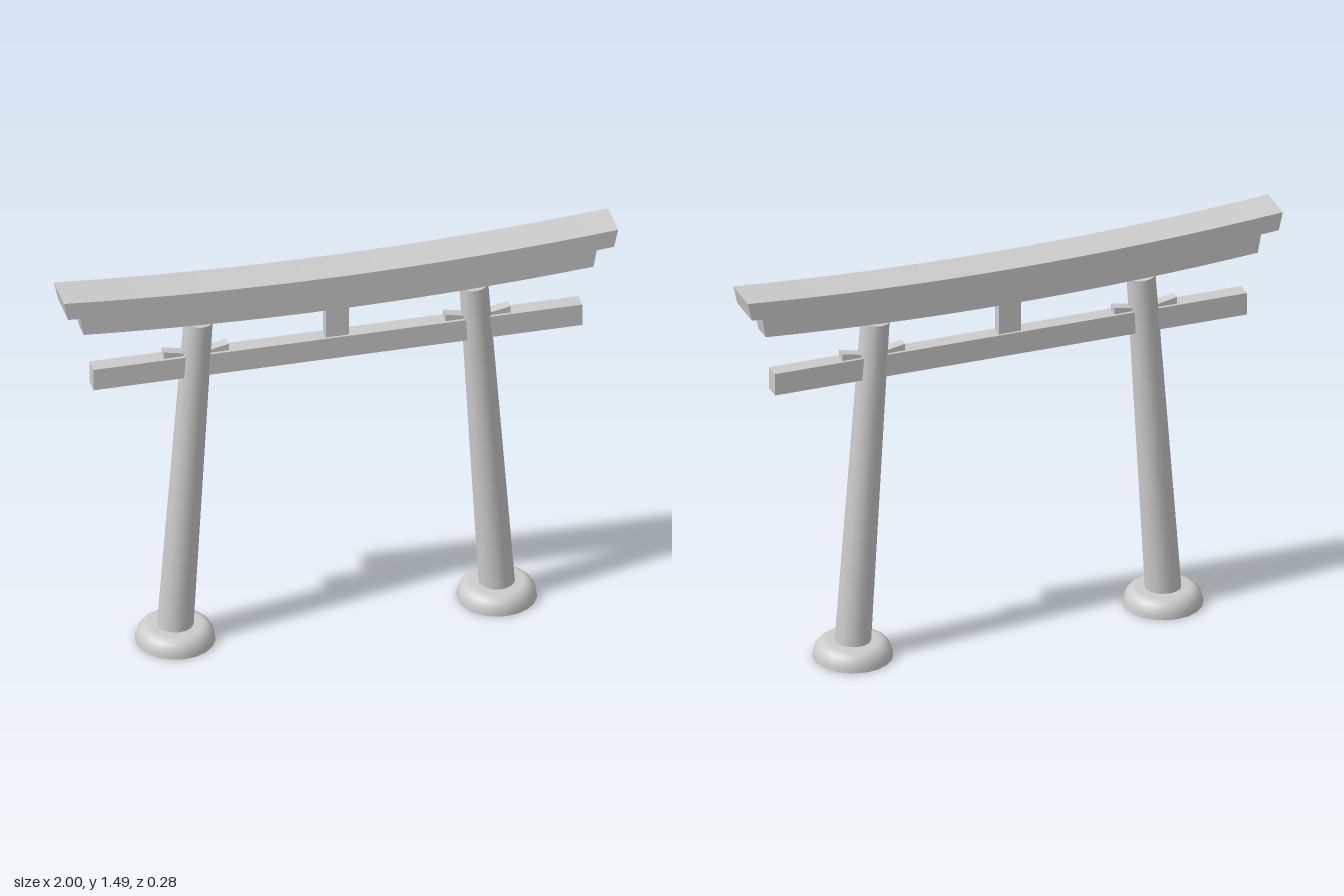
import * as THREE from 'three';

const material = new THREE.MeshStandardMaterial({ color: 0xcccccc });
const openMaterial = new THREE.MeshStandardMaterial({ color: 0xcccccc, side: THREE.DoubleSide });

function add(parent, name, geometry, mat = material) {
  const mesh = new THREE.Mesh(geometry, mat);
  mesh.name = name;
  parent.add(mesh);
  return mesh;
}

// Extrude an outline in the xy plane, centred on z = 0
function slab(points, depth) {
  const shape = new THREE.Shape(points.map(([x, y]) => new THREE.Vector2(x, y)));
  return new THREE.ExtrudeGeometry(shape, { depth, bevelEnabled: false }).translate(0, 0, -depth / 2);
}

// Beam that sweeps upward towards both ends, with slanted end cuts
function curvedBeam(bottomY, topY, bottomHalf, topHalf, depth) {
  const segments = 16, points = [];
  const edge = (half, y, dir) => {
    for (let i = 0; i <= segments; i++) {
      const x = dir * half * (2 * i / segments - 1);
      points.push([x, y + 0.04 * x * x]);
    }
  };
  edge(bottomHalf, bottomY, 1);
  edge(topHalf, topY, -1);
  return slab(points, depth);
}

export function createModel() {
  const model = new THREE.Group();
  model.name = 'gateway';

  // Curved double lintel
  add(model, 'topLintel', curvedBeam(1.385, 1.452, 0.985, 1, 0.146));
  add(model, 'lowerLintel', curvedBeam(1.296, 1.388, 0.92, 0.936, 0.074));

  // Straight tie beam and the short strut above it
  add(model, 'tieBeam', new THREE.BoxGeometry(1.764, 0.084, 0.058).translate(0, 1.132, 0));
  add(model, 'centreStrut', new THREE.BoxGeometry(0.084, 0.135, 0.04).translate(0, 1.238, 0));

  // Hollow rounded foot profile
  const footProfile = [[0.141, 0], [0.14, 0.018], [0.135, 0.035], [0.125, 0.05], [0.112, 0.06], [0.097, 0.064], [0.06, 0.064]]
    .map(([r, y]) => new THREE.Vector2(r, y));

  for (const side of [1, -1]) {
    const post = new THREE.Group();
    post.name = side > 0 ? 'leftPost' : 'rightPost';
    model.add(post);

    // Tapered pillar leaning inward
    const from = new THREE.Vector3(side * 0.58, 0.058, 0);
    const to = new THREE.Vector3(side * 0.497, 1.303, 0);
    const axis = to.clone().sub(from);
    const pillar = add(post, 'pillar', new THREE.CylinderGeometry(0.051, 0.064, axis.length(), 20));
    pillar.position.copy(from).lerp(to, 0.5);
    pillar.quaternion.setFromUnitVectors(new THREE.Vector3(0, 1, 0), axis.normalize());

    const foot = add(post, 'foot', new THREE.LatheGeometry(footProfile, 20), openMaterial);
    foot.position.x = side * 0.58;

    // Wedges on the tie beam, either side of the pillar
    for (const dir of [1, -1]) {
      const outline = [[0, 1.173], [dir * 0.117, 1.173], [dir * 0.117, 1.2], [0, 1.176]];
      const wedge = add(post, 'wedge', slab(outline, 0.036));
      wedge.position.x = side * 0.508;
    }
  }
  return model;
}
